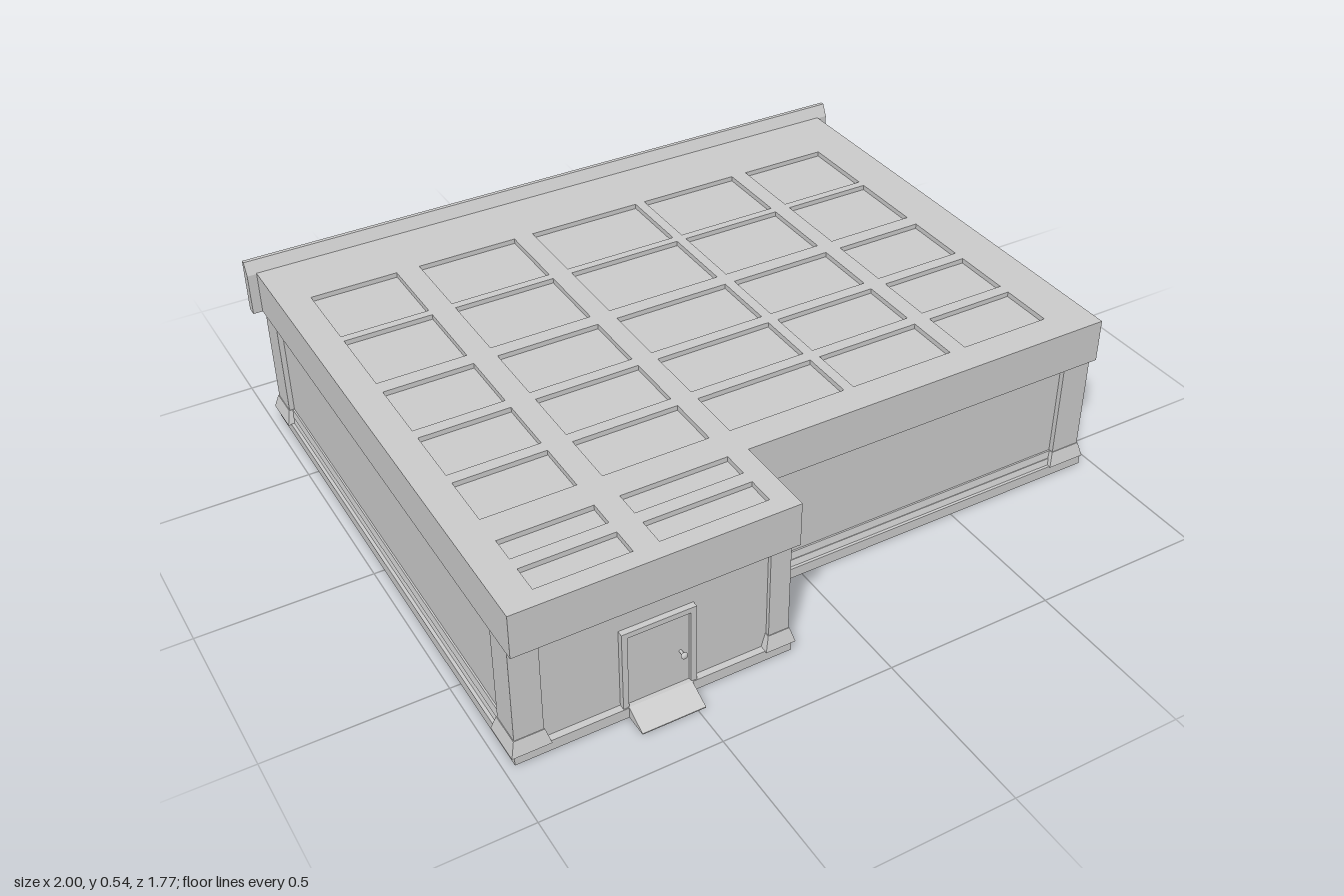
import * as THREE from 'three';

export function createModel() {
  const model = new THREE.Group();
  const mat = new THREE.MeshStandardMaterial({ color: 0xcccccc, flatShading: true });
  const smooth = new THREE.MeshStandardMaterial({ color: 0xcccccc });

  const add = (name, geo, parent = model, m = mat) => {
    const mesh = new THREE.Mesh(geo, m);
    mesh.name = name;
    parent.add(mesh);
    return mesh;
  };

  // Box given by its limits; flare pushes the bottom edges outward
  const block = (name, x0, x1, y0, y1, z0, z1, flare = 0, parent = model) => {
    const geo = new THREE.BoxGeometry(x1 - x0, y1 - y0, z1 - z0);
    const p = geo.attributes.position;
    for (let i = 0; i < p.count; i++) {
      if (p.getY(i) < 0) {
        p.setX(i, p.getX(i) + Math.sign(p.getX(i)) * flare);
        p.setZ(i, p.getZ(i) + Math.sign(p.getZ(i)) * flare);
      }
    }
    geo.computeVertexNormals();
    geo.translate((x0 + x1) / 2, (y0 + y1) / 2, (z0 + z1) / 2);
    return add(name, geo, parent);
  };

  // L-shaped plan: main hall plus a wing at the front left of the plan
  const plan = (x0, x1, z0, z1, wingX, hallZ) => new THREE.Shape([
    [x0, z0], [x1, z0], [x1, hallZ], [wingX, hallZ], [wingX, z1], [x0, z1],
  ].map(([x, z]) => new THREE.Vector2(x, -z)));

  const slab = (name, shape, y0, y1) => {
    const geo = new THREE.ExtrudeGeometry(shape, { depth: y1 - y0, bevelEnabled: false });
    geo.rotateX(-Math.PI / 2).translate(0, y0, 0);
    return add(name, geo);
  };

  // Floor and recessed walls
  slab('floor', plan(-0.97, 0.965, -0.82, 0.815, -0.185, 0.585), 0, 0.032);
  slab('walls', plan(-0.95, 0.94, -0.808, 0.795, -0.2, 0.56), 0.032, 0.372);

  // Roof: solid fascia slab, with a top layer cut by the rows of sunken panels
  const roof = [-0.97, 0.965, -0.835, 0.838, -0.185, 0.59];
  slab('roofSlab', plan(...roof), 0.37, 0.485);
  const top = plan(...roof);
  const columnsX = [[-0.88, -0.62], [-0.55, -0.245], [-0.185, 0.165], [0.195, 0.51], [0.56, 0.835]];
  const rowsZ = [[-0.63, -0.4], [-0.375, -0.145], [-0.1, 0.095], [0.13, 0.305], [0.34, 0.5],
    [0.59, 0.665], [0.705, 0.785]];
  rowsZ.forEach(([z0, z1], row) => {
    const across = row < 5 ? columnsX : columnsX.slice(0, 2);
    for (const [x0, x1] of across) {
      top.holes.push(new THREE.Path([[x0, -z0], [x0, -z1], [x1, -z1], [x1, -z0]]
        .map(([x, y]) => new THREE.Vector2(x, y))));
    }
  });
  slab('roofGrid', top, 0.485, 0.5);

  // Extrude a (z, y) side profile along x
  const profile = (name, points, x0, x1, parent = model) => {
    const shape = new THREE.Shape(points.map(([z, y]) => new THREE.Vector2(-z, y)));
    const geo = new THREE.ExtrudeGeometry(shape, { depth: x1 - x0, bevelEnabled: false });
    geo.rotateY(Math.PI / 2).translate(x0, 0, 0);
    return add(name, geo, parent);
  };

  // Raised back parapet with a sloping inner face
  profile('backParapet', [[-0.86, 0.37], [-0.86, 0.535], [-0.848, 0.535], [-0.83, 0.498], [-0.83, 0.37]], -0.998, 0.998);

  // Corner pilasters with flared feet
  const pilasters = [
    [-0.965, -0.88, -0.82, -0.73], [0.865, 0.955, -0.82, -0.72], [0.865, 0.955, 0.495, 0.575],
    [-0.965, -0.885, 0.715, 0.807], [-0.25, -0.19, 0.75, 0.807], [-0.22, -0.175, 0.53, 0.572],
  ];
  for (const [x0, x1, z0, z1] of pilasters) {
    block('pilaster', x0, x1, 0.03, 0.372, z0, z1);
    block('pilasterFoot', x0 - 0.002, x1 + 0.002, 0.03, 0.073, z0 - 0.002, z1 + 0.002, 0.012);
  }

  // Stepped ledges at the foot of the recessed walls
  const ledges = [
    [-0.17, 0.865, 0.54, 0.565], [0.92, 0.945, -0.72, 0.495], [-0.955, -0.93, -0.73, 0.715],
    [-0.22, -0.194, 0.58, 0.75], [0.27, 0.865, -0.813, -0.79], [-0.88, -0.27, -0.813, -0.79],
  ];
  for (const [x0, x1, z0, z1] of ledges) {
    block('upperLedge', x0, x1, 0.05, 0.072, z0, z1, 0.004);
    block('lowerLedge', x0, x1, 0.03, 0.05, z0 - 0.006, z1 + 0.006, 0.006);
  }

  // Shallow panels on the back wall
  for (const side of [-1, 1]) {
    const x = side * 0.54;
    block('backPanel', x - 0.25, x + 0.25, 0.1, 0.32, -0.811, -0.8);
  }

  // Doorway: frame, leaf, knob and ramp, facing +z with the wall at z = 0
  const doorway = (name) => {
    const door = new THREE.Group();
    door.name = name;
    block('doorLeaf', -0.09, 0.09, 0.03, 0.262, -0.01, 0.006, 0, door);
    for (const side of [-1, 1]) {
      block('doorJamb', side * 0.096 - 0.008, side * 0.096 + 0.008, 0.03, 0.278, -0.01, 0.016, 0, door);
    }
    block('doorLintel', -0.088, 0.088, 0.262, 0.278, -0.01, 0.016, 0, door);
    const stem = add('knobStem', new THREE.CylinderGeometry(0.004, 0.004, 0.022, 10), door, smooth);
    stem.rotation.x = Math.PI / 2;
    stem.position.set(0.063, 0.14, 0.014);
    const knob = add('doorKnob', new THREE.SphereGeometry(0.01, 14, 10), door, smooth);
    knob.scale.z = 0.6;
    knob.position.set(0.063, 0.14, 0.026);
    profile('ramp', [[0, 0], [0.086, 0], [0.086, 0.003], [0.018, 0.034], [0, 0.034]], -0.09, 0.09, door);
    model.add(door);
    return door;
  };
  doorway('frontDoor').position.set(-0.568, 0, 0.796);
  const back = doorway('backDoor');
  back.rotation.y = Math.PI;
  back.position.set(0, 0, -0.8);

  return model;
}
